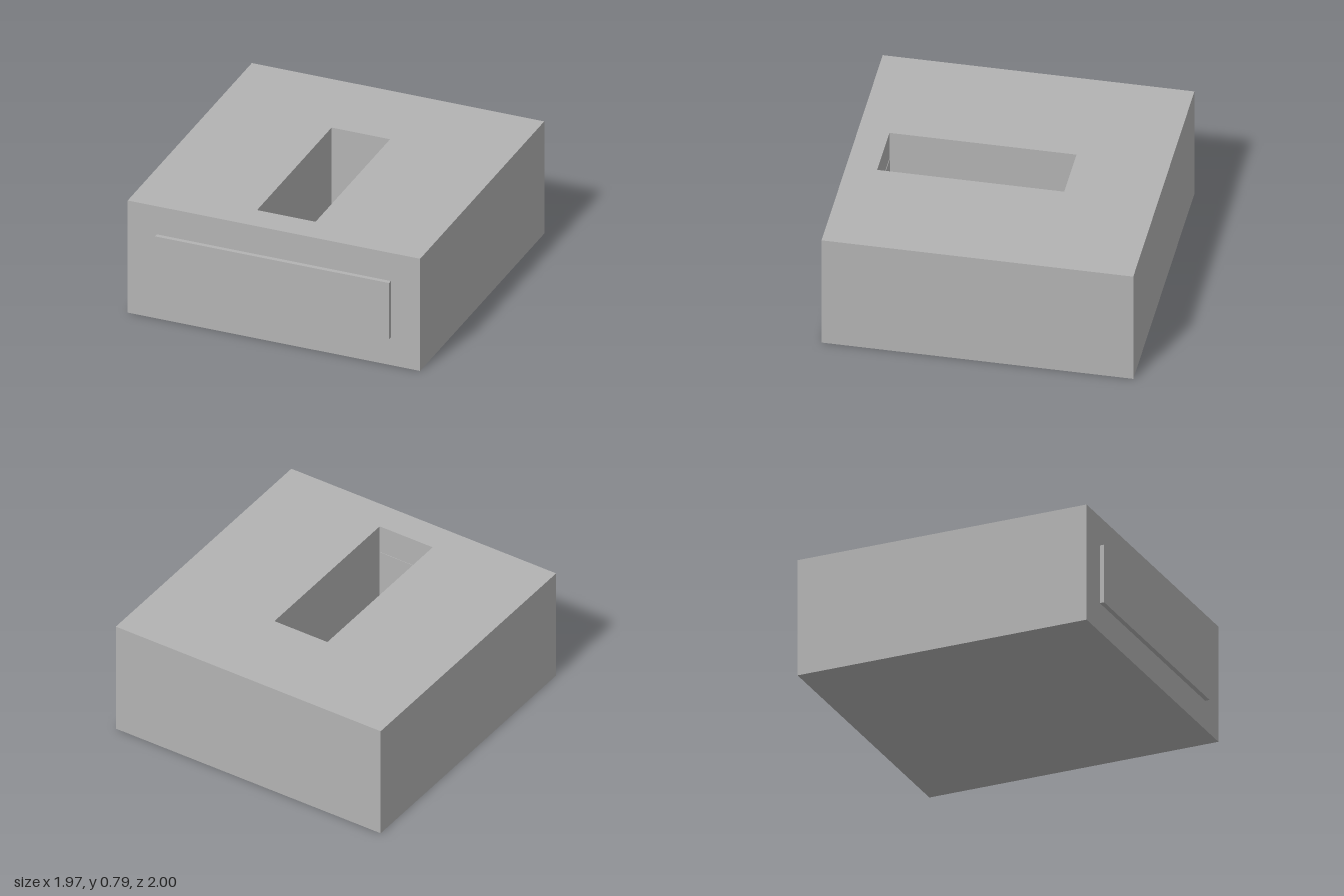
import * as THREE from 'three';
import { mergeGeometries } from 'three/addons/utils/BufferGeometryUtils.js';

const U = 2 / 10.15; // one design unit: the body is 10 x 4 x 10, the panel stands 0.15 proud
const HALF = 5 * U, HEIGHT = 4 * U, BACK = -1, FRONT = BACK + 10 * U;
const slot = { x: U, back: BACK + 3 * U, front: BACK + 9 * U, floor: U };

// Box given by its limits
function box(x, y0, y1, z0, z1) {
  return new THREE.BoxGeometry(2 * x, y1 - y0, z1 - z0).translate(0, (y0 + y1) / 2, (z0 + z1) / 2);
}

// Box without its top face, optionally turned inside out
function openBox(x, y0, y1, z0, z1, inward) {
  const g = box(x, y0, y1, z0, z1);
  const index = Array.from(g.index.array);
  index.splice(12, 6);
  if (inward) index.reverse();
  g.setIndex(index);
  g.clearGroups();
  const flat = g.toNonIndexed();
  flat.computeVertexNormals();
  return flat;
}

function rectangle(path, x, z0, z1) {
  path.moveTo(-x, -z0).lineTo(-x, -z1).lineTo(x, -z1).lineTo(x, -z0).closePath();
  return path;
}

export function createModel() {
  const group = new THREE.Group();
  group.name = 'slottedBox';
  const grey = new THREE.MeshStandardMaterial({ color: 0xb3b3b3 });
  grey.name = 'grey';

  // Top face with the slot opening
  const outline = rectangle(new THREE.Shape(), HALF, BACK, FRONT);
  outline.holes.push(rectangle(new THREE.Path(), slot.x, slot.back, slot.front));
  const top = new THREE.ShapeGeometry(outline).rotateX(-Math.PI / 2).translate(0, HEIGHT, 0).toNonIndexed();

  // Body: outer walls and base, top face, slot walls and floor
  const body = new THREE.Mesh(mergeGeometries([
    openBox(HALF, 0, HEIGHT, BACK, FRONT, false),
    top,
    openBox(slot.x, slot.floor, HEIGHT, slot.back, slot.front, true),
  ]), grey);
  body.name = 'body';

  // Front panel passes through the front wall and just shows inside the slot
  const panel = new THREE.Mesh(box(4 * U, U, 3 * U, slot.front - 0.003, 1), grey);
  panel.name = 'frontPanel';

  group.add(body, panel);
  return group;
}
